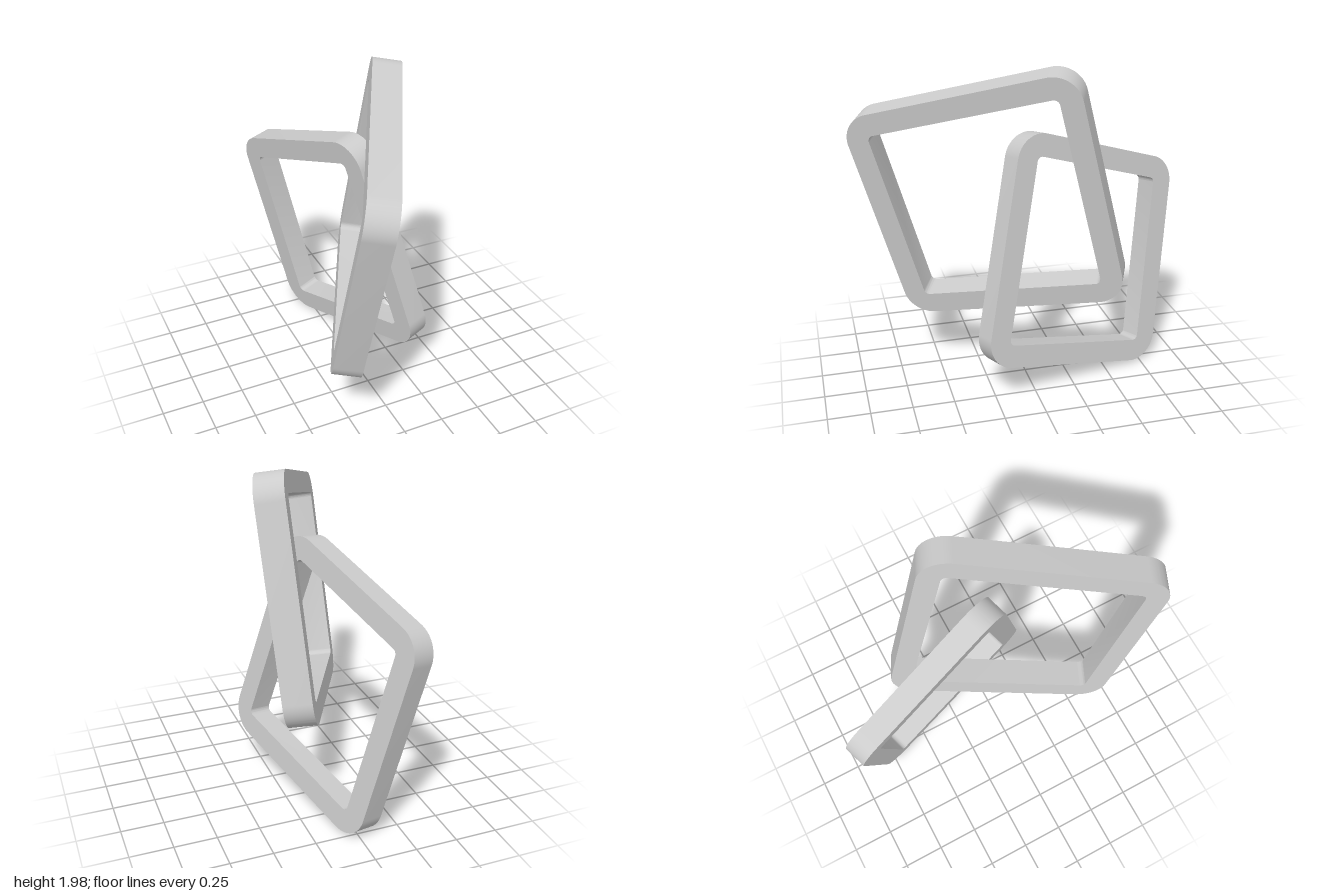
import * as THREE from 'three';
import { toCreasedNormals } from 'three/addons/utils/BufferGeometryUtils.js';

const material = new THREE.MeshStandardMaterial({ color: 0xcccccc });

// Trace a counter-clockwise polygon, pushed outwards by offset, with round corners
function traceRounded(path, points, offset, radius) {
  points.forEach((p, i) => {
    const n = points.length;
    const before = p.clone().sub(points[(i + n - 1) % n]).normalize();
    const after = points[(i + 1) % n].clone().sub(p).normalize();
    const inward = after.clone().sub(before).normalize();
    const sinHalf = Math.abs(inward.cross(after));
    const centre = p.clone().addScaledVector(inward, (radius - offset) / sinHalf);
    path.absarc(centre.x, centre.y, radius,
      Math.atan2(-before.x, before.y), Math.atan2(-after.x, after.y), false);
  });
  path.closePath();
  return path;
}

// A flat four-sided frame through four centreline corners in space
function makeFrame(name, corners, barWidth, depth) {
  const c = corners.map((p) => new THREE.Vector3(...p));
  const centre = c.reduce((s, p) => s.add(p), new THREE.Vector3()).multiplyScalar(0.25);
  const normal = c[2].clone().sub(c[0]).cross(c[3].clone().sub(c[1])).normalize();
  const across = c[2].clone().sub(c[1]);
  across.addScaledVector(normal, -across.dot(normal)).normalize();
  const up = normal.clone().cross(across);

  const flat = c.map((p) => {
    const d = p.clone().sub(centre);
    return new THREE.Vector2(d.dot(across), d.dot(up));
  });
  const bend = 0.1;
  const shape = traceRounded(new THREE.Shape(), flat, barWidth / 2, bend + barWidth / 2);
  shape.holes.push(traceRounded(new THREE.Path(), flat, -barWidth / 2, bend - barWidth / 2));

  const geometry = new THREE.ExtrudeGeometry(shape, { depth, bevelEnabled: false, curveSegments: 12 });
  geometry.translate(0, 0, -depth / 2);
  geometry.applyMatrix4(new THREE.Matrix4().makeBasis(across, up, normal).setPosition(centre));
  const mesh = new THREE.Mesh(toCreasedNormals(geometry, 0.5), material);
  mesh.name = name;
  return mesh;
}

export function createModel() {
  const model = new THREE.Group();
  model.name = 'interlockedFrames';

  // Upper frame: top front, bottom front, bottom back, top back
  model.add(makeFrame('upperFrame', [
    [-0.27, 1.63, 0.92], [-0.3, 0.47, 0.59], [0.24, 0.67, -0.5], [0.3, 1.94, -0.17],
  ], 0.13, 0.17));

  // Lower frame, linked through the upper one
  model.add(makeFrame('lowerFrame', [
    [0.04, 1.54, 0.01], [0.29, 0.335, 0.28], [0, 0.075, -0.76], [-0.25, 1.215, -0.915],
  ], 0.135, 0.14));

  return model;
}
